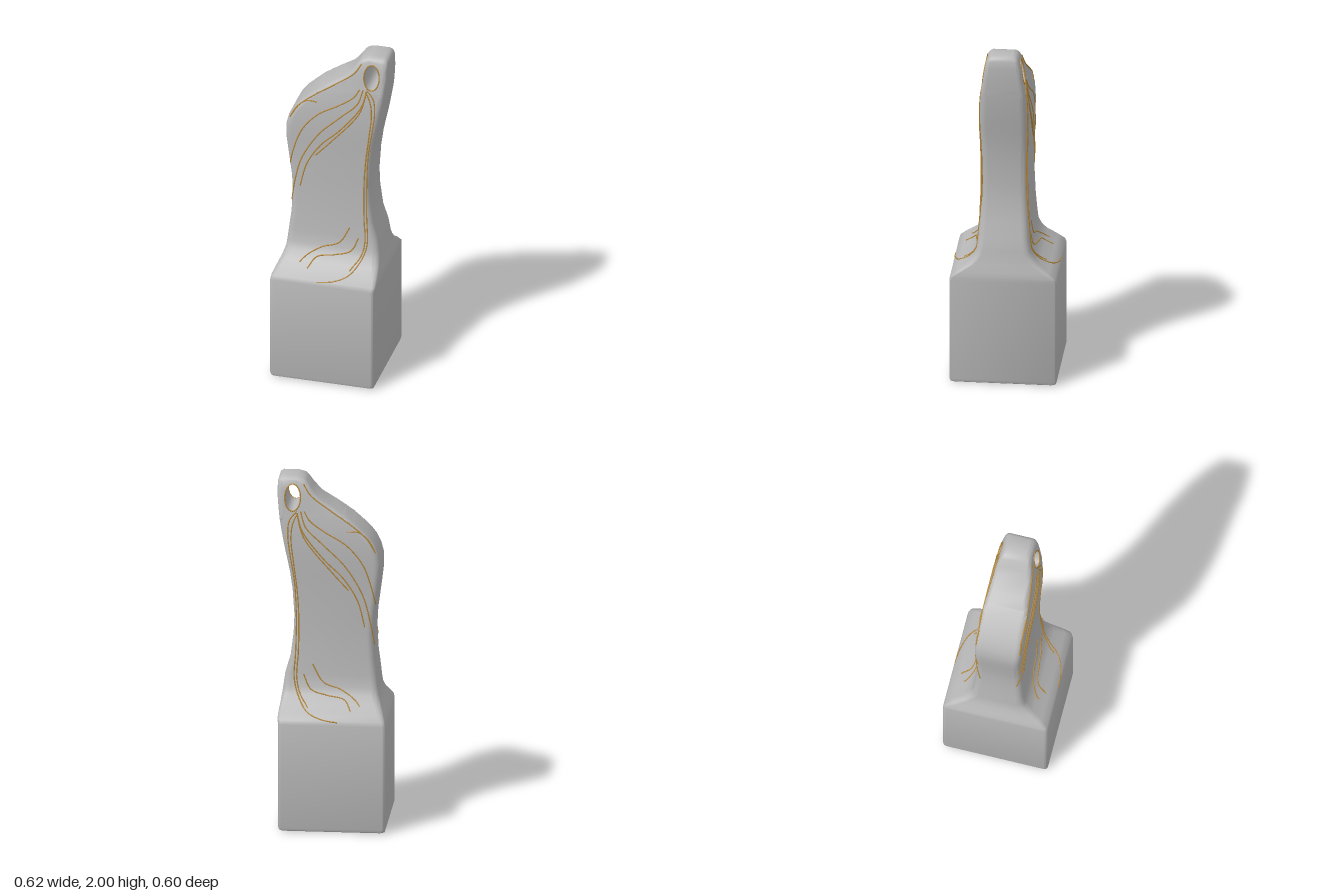
import * as THREE from 'three';
import { toCreasedNormals } from 'three/addons/utils/BufferGeometryUtils.js';

// Sections of the body: height, left x, right x, half depth, corner radius
const ROWS = [
  [0, -0.295, 0.275, 0.285, 0.02], [0.006, -0.305, 0.285, 0.295, 0.02], [0.022, -0.31, 0.29, 0.3, 0.02],
  [0.62, -0.31, 0.29, 0.3, 0.02], [0.645, -0.305, 0.295, 0.293, 0.022], [0.68, -0.29, 0.292, 0.255, 0.03],
  [0.72, -0.272, 0.286, 0.2, 0.035], [0.76, -0.26, 0.28, 0.168, 0.04], [0.8, -0.256, 0.275, 0.15, 0.04],
  [0.87, -0.249, 0.265, 0.143, 0.04], [0.97, -0.237, 0.236, 0.136, 0.04], [1.1, -0.231, 0.22, 0.131, 0.04],
  [1.2, -0.236, 0.216, 0.13, 0.04], [1.35, -0.256, 0.226, 0.13, 0.04], [1.45, -0.268, 0.24, 0.132, 0.04],
  [1.52, -0.268, 0.254, 0.134, 0.04], [1.58, -0.253, 0.267, 0.134, 0.04], [1.63, -0.228, 0.277, 0.133, 0.04],
  [1.68, -0.188, 0.286, 0.131, 0.04], [1.74, -0.122, 0.296, 0.127, 0.035], [1.79, -0.058, 0.302, 0.12, 0.03],
  [1.83, 0.0, 0.306, 0.114, 0.03], [1.88, 0.078, 0.31, 0.107, 0.03], [1.93, 0.12, 0.311, 0.099, 0.03],
  [1.97, 0.147, 0.31, 0.09, 0.03], [1.988, 0.165, 0.304, 0.082, 0.03], [2.0, 0.2, 0.288, 0.075, 0.03],
];
const HOLE = { x: 0.225, y: 1.885, rx: 0.044, ry: 0.075 };

// Section at any height, by linear interpolation
function sectionAt(y) {
  let i = 0;
  while (i < ROWS.length - 2 && ROWS[i + 1][0] < y) i++;
  const a = ROWS[i], b = ROWS[i + 1];
  const t = THREE.MathUtils.clamp((y - a[0]) / (b[0] - a[0]), 0, 1);
  return a.map((v, k) => v + (b[k] - v) * t);
}

// Depth of the front surface at a point, including the rounded corner
function surfaceZ(x, y) {
  const [, xl, xr, d, r] = sectionAt(y);
  const e = THREE.MathUtils.clamp(Math.min(x - xl, xr - x), 0, r);
  return d - r + Math.sqrt(r * r - (r - e) ** 2);
}

// Rounded rectangle ring, running anticlockwise seen from above
function ring([y, xl, xr, d, r]) {
  const pts = [], steps = 6;
  const corners = [[xr - r, -d + r], [xl + r, -d + r], [xl + r, d - r], [xr - r, d - r]];
  corners.forEach(([cx, cz], c) => {
    for (let i = 0; i <= steps; i++) {
      const a = (c + i / steps) * Math.PI / 2;
      pts.push([cx + r * Math.cos(a), y, cz - r * Math.sin(a)]);
    }
  });
  return pts;
}

// Skin stacked rings, with flat caps
function bodyGeometry(rows) {
  const rings = rows.map(ring), n = rings[0].length, pos = rings.flat(2), idx = [];
  for (let j = 0; j < rings.length - 1; j++) {
    for (let i = 0; i < n; i++) {
      const a = j * n + i, b = j * n + (i + 1) % n;
      idx.push(a, b, b + n, a, b + n, a + n);
    }
  }
  const top = (rings.length - 1) * n;
  for (let i = 1; i < n - 1; i++) idx.push(0, i + 1, i, top, top + i, top + i + 1);
  const g = new THREE.BufferGeometry();
  g.setAttribute('position', new THREE.Float32BufferAttribute(pos, 3));
  g.setIndex(idx);
  return toCreasedNormals(g, 0.7);
}

// Bevelled head with an oval eyelet, thinning towards the top
function headGeometry() {
  const rows = [sectionAt(1.75), ...ROWS.filter(r => r[0] > 1.76)];
  const outline = [
    ...rows.map(r => new THREE.Vector2(r[2], r[0])),
    ...rows.slice().reverse().map(r => new THREE.Vector2(r[1], r[0])),
  ];
  const shape = new THREE.Shape(outline);
  const bevel = 0.025, half = 0.1;
  shape.holes.push(new THREE.Path().absellipse(HOLE.x, HOLE.y, 0.012, 0.042, 0, Math.PI * 2, true));
  const g = new THREE.ExtrudeGeometry(shape, {
    depth: 2 * (half - bevel), curveSegments: 16, bevelEnabled: true,
    bevelSize: bevel, bevelThickness: bevel, bevelOffset: -bevel, bevelSegments: 5,
  });
  g.translate(0, 0, bevel - half);
  const p = g.attributes.position;
  for (let i = 0; i < p.count; i++) {
    let x = p.getX(i), y = p.getY(i);
    // keep the eyelet wall straight
    const u = (x - HOLE.x) / HOLE.rx, v = (y - HOLE.y) / HOLE.ry, l = Math.hypot(u, v);
    if (l < 1.12) {
      x = HOLE.x + HOLE.rx * u / l;
      y = HOLE.y + HOLE.ry * v / l;
    }
    p.setXYZ(i, x, y, p.getZ(i) * sectionAt(y)[3] / half);
  }
  return toCreasedNormals(g, 0.7);
}

// Fine decorative lines, as x, y points on the front face
const LINES = {
  upperVein1: [[0.16, 1.81], [0.13, 1.76], [0.05, 1.7], [-0.08, 1.62], [-0.17, 1.51], [-0.22, 1.37], [-0.24, 1.28]],
  upperVein2: [[0.18, 1.81], [0.15, 1.72], [0.05, 1.62], [-0.07, 1.5], [-0.17, 1.33], [-0.21, 1.18], [-0.233, 1.04]],
  upperVein3: [[0.2, 1.8], [0.17, 1.7], [0.05, 1.54], [-0.06, 1.43], [-0.14, 1.3], [-0.18, 1.15]],
  upperVein4: [[0.2, 1.79], [0.16, 1.66], [0.0, 1.46], [-0.09, 1.36]],
  shortVein: [[-0.08, 1.7], [-0.14, 1.7], [-0.2, 1.65], [-0.24, 1.58]],
  topEdgeLine: [[0.165, 1.96], [0.125, 1.9], [0.01, 1.815], [-0.1, 1.74], [-0.19, 1.66], [-0.24, 1.58]],
  stemOuter: [[0.2, 1.81], [0.24, 1.76], [0.25, 1.68], [0.235, 1.55], [0.212, 1.4], [0.202, 1.2], [0.205, 1.0],
    [0.212, 0.85], [0.19, 0.76], [0.14, 0.69], [0.06, 0.655], [-0.04, 0.64]],
  stemInner: [[0.195, 1.8], [0.222, 1.74], [0.232, 1.66], [0.218, 1.52], [0.198, 1.36], [0.188, 1.2], [0.19, 1.0],
    [0.198, 0.85], [0.178, 0.765], [0.13, 0.7]],
  lowerVein1: [[0.11, 0.93], [0.05, 0.83], [-0.05, 0.79], [-0.13, 0.74], [-0.16, 0.71]],
  lowerVein2: [[0.16, 0.87], [0.12, 0.79], [0.03, 0.76], [-0.07, 0.74], [-0.11, 0.69]],
};

function lineGeometry(points, side, closed = false) {
  const flat = new THREE.CatmullRomCurve3(points.map(([x, y]) => new THREE.Vector3(x, y, 0)), closed);
  const pts = flat.getPoints(60).map(p => p.setZ(side * (surfaceZ(p.x, p.y) + 0.001)));
  if (closed) pts.pop();
  return new THREE.TubeGeometry(new THREE.CatmullRomCurve3(pts, closed), 90, 0.0038, 5, closed);
}

export function createModel() {
  const grey = new THREE.MeshStandardMaterial({ color: 0xb8b8b8 });
  grey.name = 'grey';
  const gold = new THREE.MeshStandardMaterial({ color: 0xb98a3a });
  gold.name = 'gold';

  const model = new THREE.Group();
  model.name = 'sculptedBottle';
  const add = (name, geometry, material) => {
    const mesh = new THREE.Mesh(geometry, material);
    mesh.name = name;
    model.add(mesh);
  };

  add('body', bodyGeometry(ROWS.filter(r => r[0] <= 1.79)), grey);
  add('head', headGeometry(), grey);

  // Rim of the eyelet
  const rim = [];
  for (let i = 0; i < 16; i++) {
    const a = i / 16 * Math.PI * 2;
    rim.push([HOLE.x + HOLE.rx * Math.cos(a), HOLE.y + HOLE.ry * Math.sin(a)]);
  }

  // Lines on both faces
  for (const [side, label] of [[1, 'front'], [-1, 'back']]) {
    for (const [name, pts] of Object.entries(LINES)) add(`${label} ${name}`, lineGeometry(pts, side), gold);
    add(`${label} eyeletRim`, lineGeometry(rim, side, true), gold);
  }
  return model;
}
